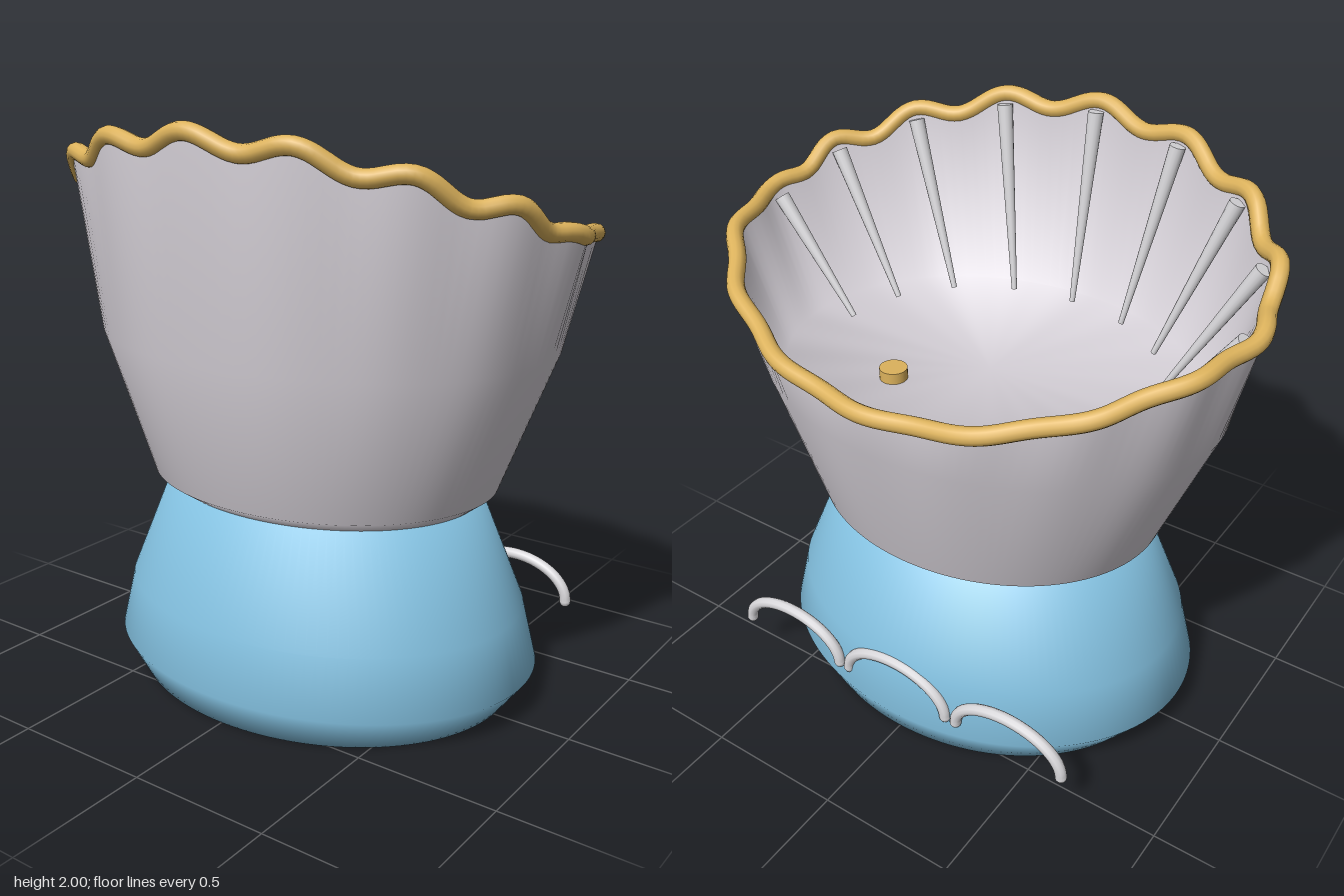
import * as THREE from 'three';

const SEG = 128, TAU = Math.PI * 2;
// rim height every 22.5 degrees, from the front (0) round to the back (180)
const RIM_Y = [1.945, 1.915, 1.84, 1.75, 1.665, 1.635, 1.55, 1.465, 1.435];

// an ellipse point; angle 0 is the front (+z) and turns towards +x
const oval = (rx, rz, y) => (t) => new THREE.Vector3(rx * Math.sin(t), y, rz * Math.cos(t));

function rimHeight(t) {
  const s = Math.acos(THREE.MathUtils.clamp(Math.cos(t), -1, 1)) / Math.PI * 8;
  const i = Math.min(7, Math.floor(s)), f = s - i;
  const at = (k) => RIM_Y[k < 0 ? -k : k > 8 ? 16 - k : k];
  const [a, b, c, d] = [at(i - 1), at(i), at(i + 1), at(i + 2)];
  const base = b + 0.5 * f * (c - a + f * (2 * a - 5 * b + 4 * c - d + f * (3 * (b - c) + d - a)));
  // scallops are tall at the front and flatten towards the back
  return base + 0.025 * THREE.MathUtils.smoothstep(Math.cos(t), -0.1, 0.35) * Math.cos(16 * t);
}

// scalloped rim line, optionally inset
const rim = (inset) => (t) => {
  const k = 1 + 0.012 * Math.cos(16 * t);
  return oval((0.935 - inset) * k, (0.685 - inset) * k, rimHeight(t))(t);
};

// smooth skin over a list of closed rings
function loft(rings) {
  const pos = [], idx = [];
  rings.forEach((ring, i) => {
    for (let j = 0; j < SEG; j++) {
      pos.push(...ring(j / SEG * TAU).toArray());
      if (i === rings.length - 1) continue;
      const n = (j + 1) % SEG, a = i * SEG + j, b = i * SEG + n;
      idx.push(a, b, b + SEG, a, b + SEG, a + SEG);
    }
  });
  const g = new THREE.BufferGeometry();
  g.setAttribute('position', new THREE.Float32BufferAttribute(pos, 3));
  g.setIndex(idx);
  g.computeVertexNormals();
  return g;
}

export function createModel() {
  const model = new THREE.Group();
  const blue = new THREE.MeshStandardMaterial({ color: 0x82bfde });
  const shell = new THREE.MeshStandardMaterial({ color: 0xd6d1d8 });
  const gold = new THREE.MeshStandardMaterial({ color: 0xdcb25c });
  const silver = new THREE.MeshStandardMaterial({ color: 0xd8d7da });
  blue.name = 'blue'; shell.name = 'pale shell'; gold.name = 'gold'; silver.name = 'silver';

  const add = (name, geometry, material, parent = model) => {
    const m = new THREE.Mesh(geometry, material);
    m.name = name;
    parent.add(m);
    return m;
  };

  // flared base
  add('base', loft([
    oval(0, 0, 0), oval(0.72, 0.59, 0), oval(0.81, 0.64, 0.12), oval(0.755, 0.605, 0.33),
    oval(0.595, 0.47, 0.71), oval(0, 0, 0.71),
  ]), blue);

  // shell bowl: outer wall, inner wall and seat floor
  add('shellBowl', loft([
    oval(0.59, 0.465, 0.705), oval(0.65, 0.53, 0.75), oval(0.85, 0.65, 1.25), rim(-0.01),
    rim(0.02), oval(0.75, 0.63, 1.235), oval(0, 0, 1.235),
  ]), shell);

  // rounded trim along the scalloped edge
  const line = Array.from({ length: SEG }, (_, j) => rim(0)(j / SEG * TAU));
  add('rimTrim', new THREE.TubeGeometry(new THREE.CatmullRomCurve3(line, true), 256, 0.03, 12, true), gold);

  // tapered ribs fanning over the front half of the inner wall
  const ribs = new THREE.Group();
  ribs.name = 'innerRibs';
  model.add(ribs);
  for (let i = -4; i <= 4; i++) {
    const t = i * Math.PI / 8;
    const top = oval(0.9, 0.65, rimHeight(t) - 0.025)(t);
    const tip = oval(0.6, 0.54, 1.25)(t);
    const dir = top.clone().sub(tip);
    const rib = add('rib', new THREE.CylinderGeometry(0.028, 0.01, dir.length(), 14), silver, ribs);
    rib.position.copy(top).add(tip).multiplyScalar(0.5);
    rib.quaternion.setFromUnitVectors(new THREE.Vector3(0, 1, 0), dir.normalize());
  }

  // small button on the floor
  add('floorButton', new THREE.CylinderGeometry(0.048, 0.048, 0.04, 28), gold).position.set(0.24, 1.255, -0.23);

  // three arched loops behind the base
  const arcPoints = Array.from({ length: 17 }, (_, k) => {
    const a = k / 16 * Math.PI;
    return new THREE.Vector3(-0.215 * Math.cos(a), 0.14 * Math.sin(a), 0);
  });
  const arc = new THREE.TubeGeometry(new THREE.CatmullRomCurve3(arcPoints), 40, 0.021, 10);
  for (const x of [-0.475, 0, 0.475]) {
    const loop = new THREE.Group();
    loop.name = 'backLoop';
    loop.position.set(x, 0.188, -0.6);
    model.add(loop);
    add('loopArc', arc, silver, loop);
    for (const s of [-1, 1])
      add('loopEnd', new THREE.SphereGeometry(0.021, 12, 8), silver, loop).position.x = s * 0.215;
  }
  return model;
}
